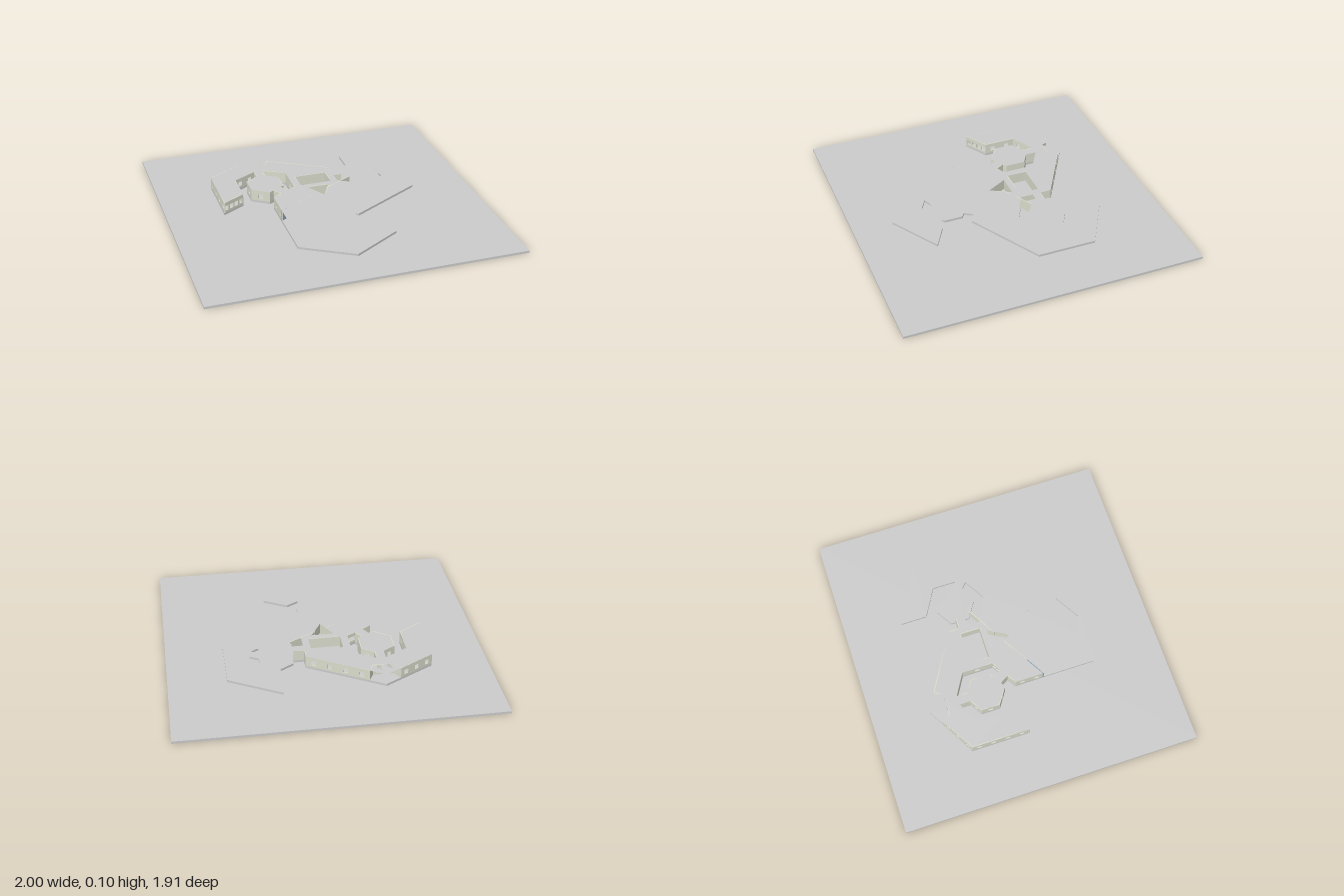
import * as THREE from 'three';

const FLOOR = 0.03, ROOF = 0.1, BASE = 0.015;

const grey = new THREE.MeshStandardMaterial({ color: 0xcccccc, side: THREE.DoubleSide });
const cream = new THREE.MeshStandardMaterial({ color: 0xd9dccb, side: THREE.DoubleSide });
const blue = new THREE.MeshStandardMaterial({ color: 0x8ba3b8, side: THREE.DoubleSide });

// Plan outlines as [x, z]
const leftWing = [
  [-0.32, -0.02], [-0.265, -0.055], [-0.295, -0.11], [-0.325, -0.09],
  [-0.43, -0.16], [-0.43, -0.28], [-0.35, -0.33], [-0.35, -0.4],
  [-0.495, -0.32], [-0.495, -0.12], [-0.64, -0.035], [-0.64, -0.41],
];
const peak = [-0.32, -0.59];
const rightWing = [
  [0.14, -0.32], [0.14, -0.25], [0.21, -0.25], [0.21, -0.28], [0.315, -0.345],
  [0.42, -0.285], [0.42, -0.195], [0.485, -0.16], [0.485, -0.32],
  [0.31, -0.42], [0.31, -0.59], [0.635, -0.405], [0.635, -0.03],
];
const frontWing = [
  [0.17, 0.23], [0.105, 0.2], [0.075, 0.25], [0.105, 0.27], [0.105, 0.39],
  [0, 0.45], [-0.085, 0.41], [-0.145, 0.44], [0, 0.52], [0.165, 0.425],
  [0.315, 0.51], [0, 0.7], [-0.32, 0.51],
];
const outline = [...leftWing, peak, ...rightWing, ...frontWing];

// Courtyards are open to the ground, light wells only pierce the roof
const leftCourt = [[-0.29, -0.4], [-0.155, -0.32], [-0.155, -0.12], [-0.21, -0.09],
  [-0.24, -0.145], [-0.215, -0.16], [-0.215, -0.285], [-0.29, -0.33]];
const rightCourt = [[0.14, -0.195], [0.21, -0.195], [0.21, -0.16], [0.315, -0.095],
  [0.41, -0.15], [0.46, -0.105], [0.315, -0.02], [0.14, -0.115]];
const hallWell = [[-0.107, -0.25], [0.096, -0.25], [0.096, -0.125], [-0.107, -0.125]];
const triangleWell = [[-0.073, -0.083], [0.068, -0.083], [-0.003, 0.045]];
const porchWells = [
  [[-0.37, -0.52], [-0.34, -0.537], [-0.34, -0.48], [-0.36, -0.48]],
  [[-0.3, -0.537], [-0.27, -0.52], [-0.28, -0.48], [-0.3, -0.48]],
];

// Shape in plan; y holds -z so that rotating by -90 degrees lays it flat
function planShape(points, holes) {
  const toV = (list) => list.map(([x, z]) => new THREE.Vector2(x, -z));
  const shape = new THREE.Shape(toV(points));
  shape.holes = holes.map((h) => new THREE.Path(toV(h)));
  return shape;
}

function addMesh(parent, name, geometry, material) {
  const mesh = new THREE.Mesh(geometry, material);
  mesh.name = name;
  parent.add(mesh);
  return mesh;
}

// Upright wall from a to b with evenly spaced window openings
function addWall(parent, a, b, windows = 0, material = cream) {
  const dx = b[0] - a[0], dz = b[1] - a[1], length = Math.hypot(dx, dz);
  const shape = new THREE.Shape();
  shape.moveTo(0, 0).lineTo(length, 0).lineTo(length, ROOF - FLOOR).lineTo(0, ROOF - FLOOR).closePath();
  for (let i = 0; i < windows; i++) {
    const c = (i + 0.5) * length / windows, w = 0.015;
    const hole = new THREE.Path();
    hole.moveTo(c - w, 0.015).lineTo(c - w, 0.045).lineTo(c + w, 0.045).lineTo(c + w, 0.015).closePath();
    shape.holes.push(hole);
  }
  const geometry = new THREE.ExtrudeGeometry(shape, { depth: 0.006, bevelEnabled: false });
  const wall = addMesh(parent, windows ? 'windowWall' : 'wall', geometry, material);
  wall.position.set(a[0], FLOOR, a[1]);
  wall.rotation.y = -Math.atan2(dz, dx);
}

function addWallPath(parent, points, windows = [], closed = false) {
  const n = closed ? points.length : points.length - 1;
  for (let i = 0; i < n; i++) addWall(parent, points[i], points[(i + 1) % points.length], windows[i]);
}

export function createModel() {
  const model = new THREE.Group();
  model.name = 'pavilion';

  // Ground plate
  const ground = addMesh(model, 'ground', new THREE.BoxGeometry(2, BASE, 1.91), grey);
  ground.position.y = BASE / 2;

  // Floor slab
  const floor = addMesh(model, 'floorSlab', new THREE.ExtrudeGeometry(
    planShape(outline, [leftCourt, rightCourt]),
    { depth: FLOOR - BASE, bevelEnabled: false }), grey);
  floor.rotation.x = -Math.PI / 2;
  floor.position.y = BASE;

  // Thin flat roof
  const roof = addMesh(model, 'roof', new THREE.ShapeGeometry(
    planShape(outline, [leftCourt, rightCourt, hallWell, triangleWell, ...porchWells])), grey);
  roof.rotation.x = -Math.PI / 2;
  roof.position.y = ROOF;

  const walls = new THREE.Group();
  walls.name = 'walls';
  model.add(walls);

  // Outer walls of the enclosed wing, stepping in at the porch
  addWallPath(walls, [[-0.32, 0.17], ...leftWing, [-0.42, -0.535]],
    [2, 0, 0, 0, 1, 1, 1, 0, 2, 2, 4, 4, 3]);
  addWallPath(walls, [[-0.42, -0.535], [-0.385, -0.48], [-0.255, -0.48], [-0.225, -0.535]], [0, 2, 0]);
  addWallPath(walls, [[-0.225, -0.535], ...rightWing.slice(0, 3)], [4, 0, 0]);

  // Courtyard and light well walls
  addWallPath(walls, leftCourt.slice().reverse(), [1, 0, 0, 0, 2, 1, 0, 0], true);
  addWallPath(walls, hallWell.slice().reverse(), [], true);
  addWallPath(walls, triangleWell.slice().reverse(), [], true);

  // Partition closing the wing, with a glazed end
  addWall(walls, [-0.2, 0.1], [-0.32, 0.17], 0, blue);
  addWall(walls, [-0.03, 0], [-0.2, 0.1]);
  addWall(walls, [0.235, -0.15], [0.045, -0.04]);

  return model;
}
